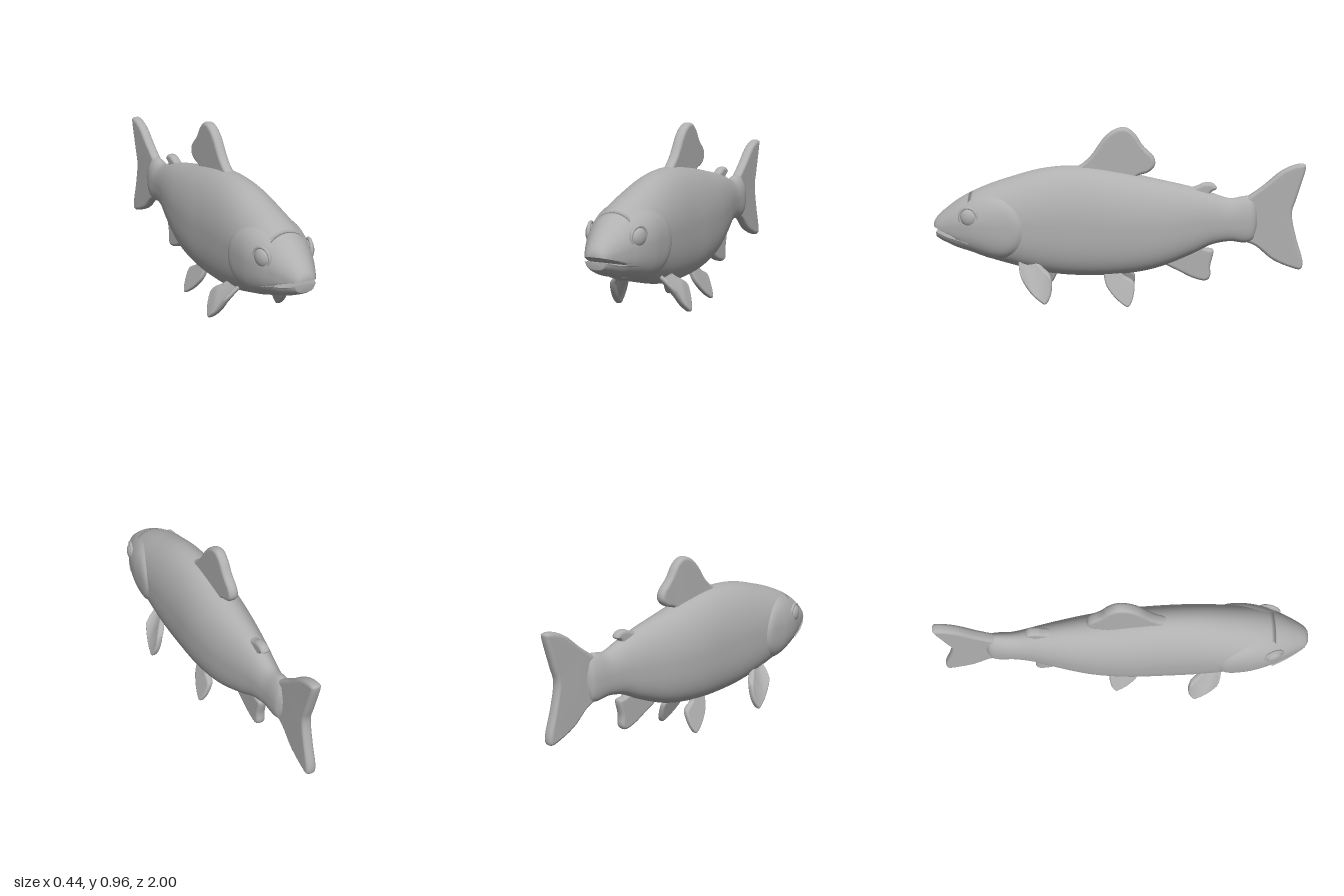
import * as THREE from 'three';
import { mergeVertices } from 'three/addons/utils/BufferGeometryUtils.js';

const skin = new THREE.MeshStandardMaterial({ color: 0xb0b0b0 });
skin.name = 'grey skin';

// Body stations from tail to nose: z, top, bottom, half width
const STATIONS = [
  [-0.745, 0.52, 0.41, 0.03], [-0.73, 0.572, 0.355, 0.048], [-0.7, 0.588, 0.335, 0.056],
  [-0.6, 0.575, 0.34, 0.064], [-0.5, 0.605, 0.32, 0.08], [-0.4, 0.635, 0.27, 0.102],
  [-0.2, 0.68, 0.19, 0.14], [0, 0.722, 0.155, 0.16], [0.2, 0.748, 0.148, 0.163],
  [0.4, 0.735, 0.165, 0.165], [0.6, 0.68, 0.215, 0.162], [0.7, 0.645, 0.245, 0.157],
  [0.8, 0.6, 0.28, 0.142], [0.87, 0.56, 0.3, 0.117], [0.93, 0.515, 0.325, 0.088],
  [0.97, 0.48, 0.345, 0.066], [0.99, 0.457, 0.362, 0.05], [1, 0.438, 0.385, 0.034],
];
const interpolant = new THREE.CubicInterpolant(
  STATIONS.map((s) => s[0]), STATIONS.flatMap((s) => s.slice(1)), 3);
const profile = (z) => Array.from(interpolant.evaluate(z));
const LOWER_POWER = 2.7; // fuller belly than back

function smooth(geo) {
  geo.deleteAttribute('uv');
  geo.deleteAttribute('normal');
  const merged = mergeVertices(geo, 1e-4);
  merged.computeVertexNormals();
  return merged;
}

// Half width of the body at a given length and height
function halfWidth(z, y) {
  const [top, bottom, w] = profile(z);
  const t = Math.min(1, Math.abs(y - (top + bottom) / 2) / ((top - bottom) / 2));
  const p = y < (top + bottom) / 2 ? LOWER_POWER : 2;
  return w * Math.pow(1 - Math.pow(t, p), 1 / p);
}

// Skin over the body sections between two z values, with an optional height limit
function loft(z0, z1, steps, limitY = (y) => y) {
  const sides = 72, pos = [], index = [];
  for (let i = 0; i <= steps; i++) {
    const z = z0 + ((z1 - z0) * i) / steps;
    const [top, bottom, w] = profile(z);
    for (let j = 0; j < sides; j++) {
      const a = (j / sides) * Math.PI * 2, c = Math.cos(a), s = Math.sin(a);
      const e = s < 0 ? 2 / LOWER_POWER : 1;
      const x = Math.sign(c) * Math.pow(Math.abs(c), e) * w;
      const y = (top + bottom) / 2 + (Math.sign(s) * Math.pow(Math.abs(s), e) * (top - bottom)) / 2;
      pos.push(x, limitY(y, z), z);
    }
  }
  const at = (i, j) => i * sides + (j % sides);
  for (let i = 0; i < steps; i++) for (let j = 0; j < sides; j++) {
    const a = at(i, j), b = at(i, j + 1), c = at(i + 1, j), d = at(i + 1, j + 1);
    index.push(a, b, c, b, d, c);
  }
  // End caps
  for (const [i, z] of [[0, z0], [steps, z1]]) {
    const centre = pos.length / 3, [top, bottom] = profile(z);
    pos.push(0, limitY((top + bottom) / 2, z), z);
    for (let j = 0; j < sides; j++) {
      if (i) index.push(centre, at(i, j), at(i, j + 1));
      else index.push(centre, at(i, j + 1), at(i, j));
    }
  }
  const geo = new THREE.BufferGeometry();
  geo.setAttribute('position', new THREE.Float32BufferAttribute(pos, 3));
  geo.setIndex(index);
  geo.computeVertexNormals();
  return geo;
}

// Rounded plate from a [z, y] outline; bend gives the sideways offset at each height
function fin(outline, thickness, bend = () => 0) {
  const pts = outline.map(([z, y]) => new THREE.Vector2(-z, y));
  const curve = new THREE.SplineCurve([...pts, pts[0]]).getPoints(72);
  const r = thickness * 0.4, depth = thickness - 2 * r;
  const geo = new THREE.ExtrudeGeometry(new THREE.Shape(curve.slice(0, -1)), {
    depth, bevelThickness: r, bevelSize: r * 0.8, bevelOffset: -r * 0.8, bevelSegments: 4,
  });
  geo.translate(0, 0, -depth / 2).rotateY(Math.PI / 2);
  const p = geo.attributes.position;
  for (let i = 0; i < p.count; i++) p.setX(i, p.getX(i) + bend(p.getY(i)));
  return smooth(geo);
}

// Gill cover: a disc laid over the cheek, raised toward its rear rim
function gillCover() {
  const geo = new THREE.RingGeometry(0.001, 1, 56, 16);
  const p = geo.attributes.position;
  for (let i = 0; i < p.count; i++) {
    const u = p.getX(i), v = p.getY(i), r = Math.hypot(u, v);
    const z = 0.695 - 0.19 * u, y = 0.425 + 0.18 * v;
    const rear = THREE.MathUtils.smoothstep(0.9 - z, 0.02, 0.25);
    p.setXYZ(i, halfWidth(z, y) + 0.016 * rear * (1 - Math.pow(r, 10)) - 0.001, y, z);
  }
  return smooth(geo);
}

function mirrored(geo) {
  const m = geo.clone();
  m.scale(-1, 1, 1);
  const ix = m.index.array;
  for (let i = 0; i < ix.length; i += 3) [ix[i], ix[i + 1]] = [ix[i + 1], ix[i]];
  m.computeVertexNormals();
  return m;
}

export function createModel() {
  const fish = new THREE.Group();
  fish.name = 'fish';
  const add = (name, geo) => {
    const mesh = new THREE.Mesh(geo, skin);
    mesh.name = name;
    fish.add(mesh);
  };
  const addPair = (name, geo) => {
    add('left' + name, geo);
    add('right' + name, mirrored(geo));
  };

  // Body, and jaws parted along a rising mouth line
  const mouth = (z) => 0.345 + (z - 0.8) * 0.33;
  const gap = (z) => 0.022 * THREE.MathUtils.clamp((z - 0.83) / 0.1, 0, 1);
  add('body', loft(-0.745, 0.8, 80));
  add('upperJaw', loft(0.8, 1, 28, (y, z) => Math.max(y, mouth(z) + gap(z) * 0.3)));
  add('lowerJaw', loft(0.8, 0.985, 28, (y, z) => Math.min(y, mouth(z) - gap(z) * 0.7)));
  addPair('GillCover', gillCover());

  // Eyes and their sockets
  const place = (g) => g.rotateY(-0.3).translate(halfWidth(0.795, 0.49) - 0.004, 0.49, 0.795);
  addPair('Eye', place(smooth(new THREE.SphereGeometry(1, 28, 18).scale(0.024, 0.047, 0.047))));
  addPair('EyeRim', place(smooth(
    new THREE.TorusGeometry(0.052, 0.009, 10, 36).rotateY(Math.PI / 2))));

  // Fins along the middle
  add('tailFin', fin([
    [-0.64, 0.55], [-0.7, 0.59], [-0.78, 0.65], [-0.86, 0.72], [-0.93, 0.757], [-0.99, 0.765],
    [-0.997, 0.73], [-0.955, 0.58], [-0.933, 0.49], [-0.96, 0.36], [-0.997, 0.24], [-0.99, 0.185],
    [-0.93, 0.195], [-0.83, 0.24], [-0.74, 0.315], [-0.64, 0.37],
  ], 0.055));
  add('dorsalFin', fin([
    [0.24, 0.735], [0.19, 0.765], [0.14, 0.815], [0.08, 0.9], [0.02, 0.948], [-0.04, 0.957],
    [-0.09, 0.92], [-0.13, 0.86], [-0.185, 0.805], [-0.195, 0.755], [-0.16, 0.717], [-0.1, 0.695],
    [-0.08, 0.65], [0.18, 0.69],
  ], 0.055));
  add('adiposeFin', fin([
    [-0.36, 0.625], [-0.42, 0.643], [-0.46, 0.66], [-0.505, 0.658], [-0.527, 0.63],
    [-0.495, 0.608], [-0.48, 0.57], [-0.38, 0.59],
  ], 0.05));
  add('analFin', fin([
    [-0.23, 0.215], [-0.32, 0.172], [-0.4, 0.132], [-0.47, 0.115], [-0.5, 0.14], [-0.5, 0.2],
    [-0.515, 0.285], [-0.465, 0.3], [-0.43, 0.34], [-0.28, 0.28],
  ], 0.052));

  // Paired fins, splayed outward
  addPair('PelvicFin', fin([
    [0.08, 0.175], [0.065, 0.11], [0.02, 0.05], [-0.03, 0.01], [-0.06, 0.002], [-0.083, 0.05],
    [-0.085, 0.125], [-0.03, 0.16], [0.0, 0.2], [0.06, 0.21],
  ], 0.034, (y) => 0.127 - 0.36 * y));
  addPair('PectoralFin', fin([
    [0.54, 0.27], [0.52, 0.18], [0.47, 0.1], [0.415, 0.05], [0.38, 0.038], [0.352, 0.1],
    [0.358, 0.18], [0.41, 0.225], [0.46, 0.285], [0.51, 0.3],
  ], 0.036, (y) => 0.213 - 0.24 * y - 1.3 * Math.max(0, y - 0.17) ** 1.25));

  return fish;
}
